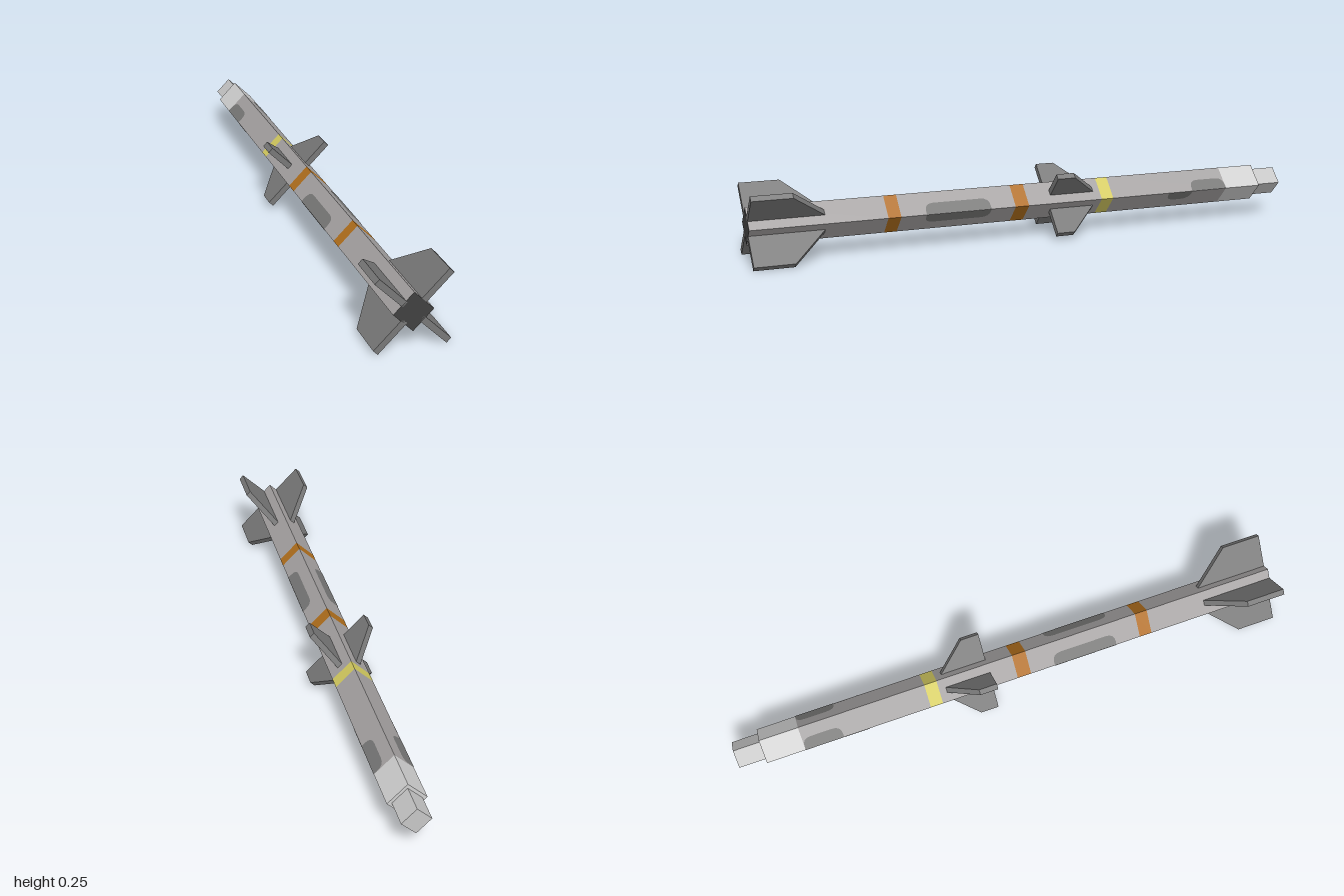
import * as THREE from 'three';

const CY = 0.125; // height of the long axis
const R = 0.065;  // corner radius of the square body

const mat = (name, color, extra = {}) => {
  const m = new THREE.MeshStandardMaterial({ color, flatShading: true, ...extra });
  m.name = name;
  return m;
};

export function createModel() {
  const group = new THREE.Group();
  const M = {
    body: mat('bodyGrey', 0xa5a2a2),
    fin: mat('finGrey', 0x777777),
    patch: mat('patchGrey', 0x777776, { side: THREE.DoubleSide }),
    orange: mat('orange', 0xb06e1c),
    yellow: mat('yellow', 0xd4cb60),
    nose: mat('noseLight', 0xd0d0d0),
    tip: mat('tipLight', 0xc6c6c6),
    cap: mat('capDark', 0x404040),
  };
  const add = (name, geo, material) => {
    const mesh = new THREE.Mesh(geo, material);
    mesh.name = name;
    group.add(mesh);
    return mesh;
  };

  // four-sided tube section between two z values, corners up, down, left and right
  const section = (name, z0, z1, r, material, open = true) => {
    const g = new THREE.CylinderGeometry(r, r, z1 - z0, 4, 1, open);
    g.rotateX(Math.PI / 2).translate(0, CY, (z0 + z1) / 2);
    return add(name, g, material);
  };
  section('noseTip', -1, -0.905, 0.049, M.tip, false);
  section('nose', -0.905, -0.765, R, M.nose, false);
  section('rearBody', -0.765, -0.305, R, M.body);
  section('yellowBand', -0.305, -0.26, R, M.yellow);
  section('middleBody', -0.26, 0.02, R, M.body);
  section('orangeBandA', 0.02, 0.07, R, M.orange);
  section('frontBody', 0.07, 0.485, R, M.body);
  section('orangeBandB', 0.485, 0.53, R, M.orange);
  section('tailBody', 0.53, 1, R, [M.body, M.cap, M.body], false);

  // diagonal fins: outline given as [radius, z]
  const T = 0.021;
  const finSet = (name, pts) => {
    const shape = new THREE.Shape(pts.map(([r, z]) => new THREE.Vector2(r, z)));
    const geo = new THREE.ExtrudeGeometry(shape, { depth: T, bevelEnabled: false });
    geo.translate(0, 0, -T / 2).rotateX(Math.PI / 2);
    for (let k = 0; k < 4; k++) {
      const fin = add(name + (k + 1), geo, M.fin);
      fin.position.y = CY;
      fin.rotation.z = Math.PI / 4 + k * Math.PI / 2;
    }
  };
  finSet('largeFin', [[0.038, 1], [0.166, 1], [0.166, 0.862], [0.046, 0.742], [0.038, 0.742]]);
  finSet('smallFin', [[0.038, -0.07], [0.148, -0.07], [0.148, -0.135], [0.046, -0.235], [0.038, -0.235]]);

  // round-cornered panel lying on one face, its straight edge on the side corner
  const panel = (name, z0, z1, h, c, sx, sy) => {
    const w = (z1 - z0) / 2;
    const s = new THREE.Shape();
    s.moveTo(-w, 0);
    s.lineTo(w, 0);
    s.lineTo(w, h - c);
    s.quadraticCurveTo(w, h, w - c, h);
    s.lineTo(-w + c, h);
    s.quadraticCurveTo(-w, h, -w, h - c);
    const q = Math.SQRT1_2, e = 0.0008;
    const basis = new THREE.Matrix4().makeBasis(
      new THREE.Vector3(0, 0, -sx * sy),
      new THREE.Vector3(-sx * q, sy * q, 0),
      new THREE.Vector3(sx * q, sy * q, 0),
    );
    basis.setPosition(sx * (R + e), CY + sy * e, (z0 + z1) / 2);
    add(name, new THREE.ShapeGeometry(s, 4).applyMatrix4(basis), M.patch);
  };
  for (const sx of [1, -1]) {
    const side = sx > 0 ? 'left' : 'right';
    panel(side + 'UpperPanel', 0.16, 0.395, 0.046, 0.032, sx, 1);
    panel(side + 'LowerPanel', 0.16, 0.395, 0.046, 0.032, sx, -1);
    panel(side + 'UpperRearPanel', -0.765, -0.625, 0.046, 0.032, sx, 1);
    panel(side + 'LowerRearPanel', -0.625, -0.53, 0.046, 0.036, sx, -1);
  }
  return group;
}
